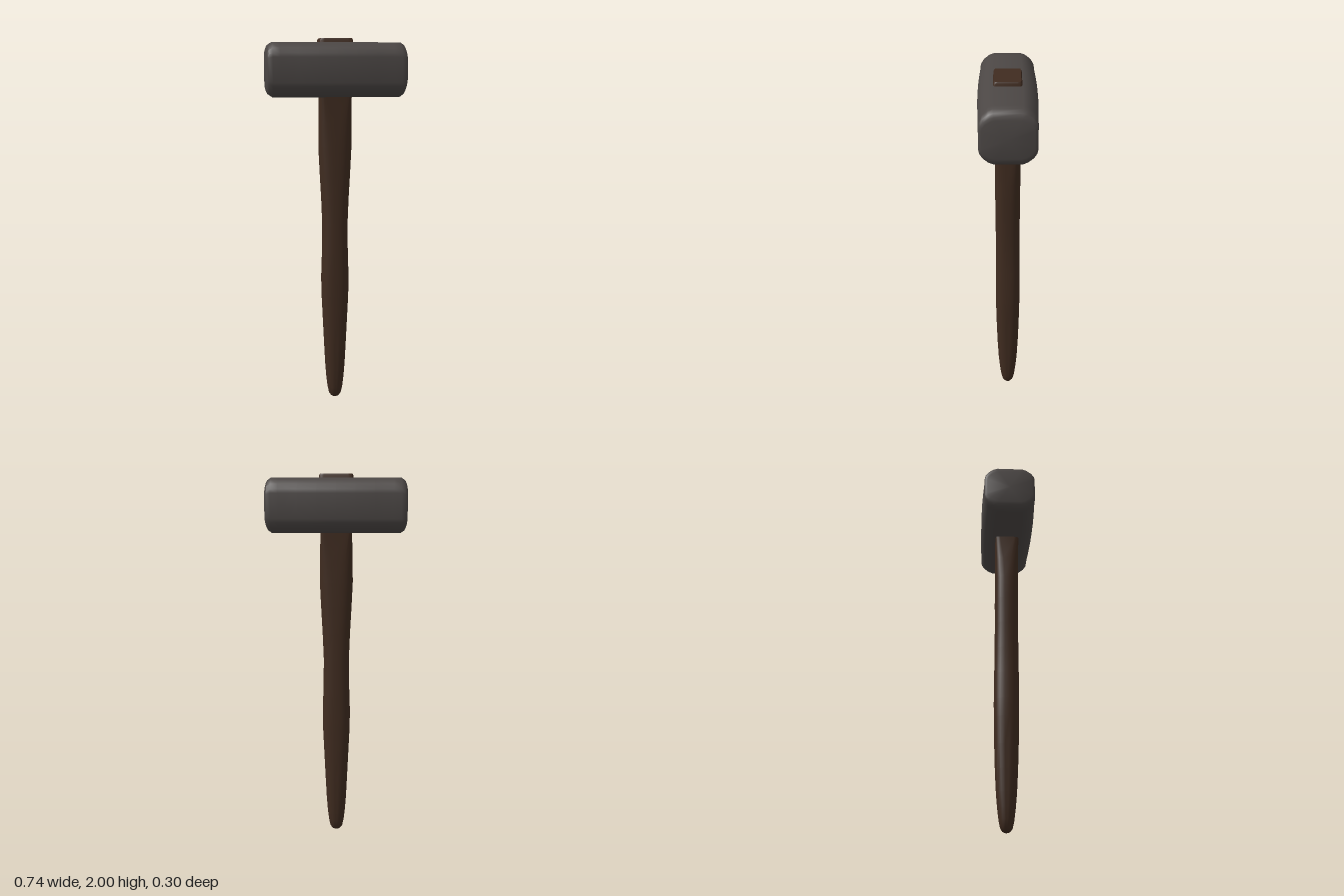
import * as THREE from 'three';
import { toCreasedNormals } from 'three/addons/utils/BufferGeometryUtils.js';

// Skin a list of equal-length rings, closing both ends with fans.
function loft(rings, crease) {
  const n = rings[0].length, pos = [], index = [];
  rings.forEach(ring => ring.forEach(p => pos.push(...p)));
  for (let r = 0; r < rings.length - 1; r++) {
    for (let i = 0; i < n; i++) {
      const a = r * n + i, b = r * n + (i + 1) % n;
      index.push(a, a + n, b, b, a + n, b + n);
    }
  }
  for (const [r, first] of [[0, true], [rings.length - 1, false]]) {
    const c = pos.length / 3;
    pos.push(...[0, 1, 2].map(k => rings[r].reduce((s, p) => s + p[k], 0) / n));
    for (let i = 0; i < n; i++) {
      const a = r * n + i, b = r * n + (i + 1) % n;
      index.push(c, first ? a : b, first ? b : a);
    }
  }
  const geo = new THREE.BufferGeometry();
  geo.setAttribute('position', new THREE.Float32BufferAttribute(pos, 3));
  geo.setIndex(index);
  return toCreasedNormals(geo, crease);
}

// Octagonal head section with softened corners, as fractions of half depth and half height.
const quarter = [[1, 0.46], [0.97, 0.6], [0.86, 0.78], [0.66, 0.94], [0.5, 1]];
const octagon = [
  ...quarter,
  ...quarter.map(([z, y]) => [-z, y]).reverse(),
  ...quarter.map(([z, y]) => [-z, -y]),
  ...quarter.map(([z, y]) => [z, -y]).reverse(),
];

function headGeometry() {
  // [x, half depth, half height]
  const half = [[0, 0.148, 0.142], [0.1, 0.1475, 0.142], [0.2, 0.1445, 0.142], [0.3, 0.14, 0.142],
    [0.338, 0.14, 0.142], [0.358, 0.139, 0.128], [0.366, 0.134, 0.112], [0.37, 0.124, 0.098]];
  const stations = [...half.slice(1).reverse().map(([x, d, h]) => [-x, d, h]), ...half];
  return loft(stations.map(([x, d, h]) => octagon.map(([z, y]) => [x, 1.837 + y * h, z * d])), 0.75);
}

function handleGeometry() {
  // [y, half width, half depth, squareness]
  const stations = [[0, 0.012, 0.012, 2], [0.006, 0.023, 0.022, 2], [0.022, 0.034, 0.032, 2],
    [0.06, 0.042, 0.04, 2.1], [0.12, 0.049, 0.047, 2.2], [0.2, 0.055, 0.054, 2.3],
    [0.32, 0.061, 0.06, 2.4], [0.45, 0.067, 0.064, 2.5], [0.6, 0.074, 0.067, 2.6],
    [0.7, 0.076, 0.068, 2.6], [0.85, 0.071, 0.067, 2.6], [1, 0.069, 0.065, 2.6],
    [1.15, 0.075, 0.065, 2.6], [1.3, 0.083, 0.066, 2.8], [1.43, 0.089, 0.066, 3],
    [1.55, 0.087, 0.066, 4], [1.68, 0.084, 0.066, 9], [1.75, 0.086, 0.068, 14],
    [1.99, 0.089, 0.07, 14], [2, 0.084, 0.065, 14]];
  const soft = (v, k) => Math.sign(v) * Math.abs(v) ** (2 / k);
  return loft(stations.map(([y, w, d, k]) => Array.from({ length: 32 }, (_, i) => {
    const t = (i + 0.5) / 32 * Math.PI * 2;
    return [soft(Math.cos(t), k) * w, y, soft(Math.sin(t), k) * d];
  })), 0.75);
}

export function createModel() {
  const iron = new THREE.MeshStandardMaterial({ name: 'dark iron', color: 0x4c4745 });
  const wood = new THREE.MeshStandardMaterial({ name: 'dark wood', color: 0x402c20 });
  const model = new THREE.Group();
  model.name = 'sledgehammer';

  const head = new THREE.Mesh(headGeometry(), iron);
  head.name = 'hammerHead';

  // The handle runs through the head and pokes out on top.
  const handle = new THREE.Mesh(handleGeometry(), wood);
  handle.name = 'handle';

  model.add(head, handle);
  return model;
}
